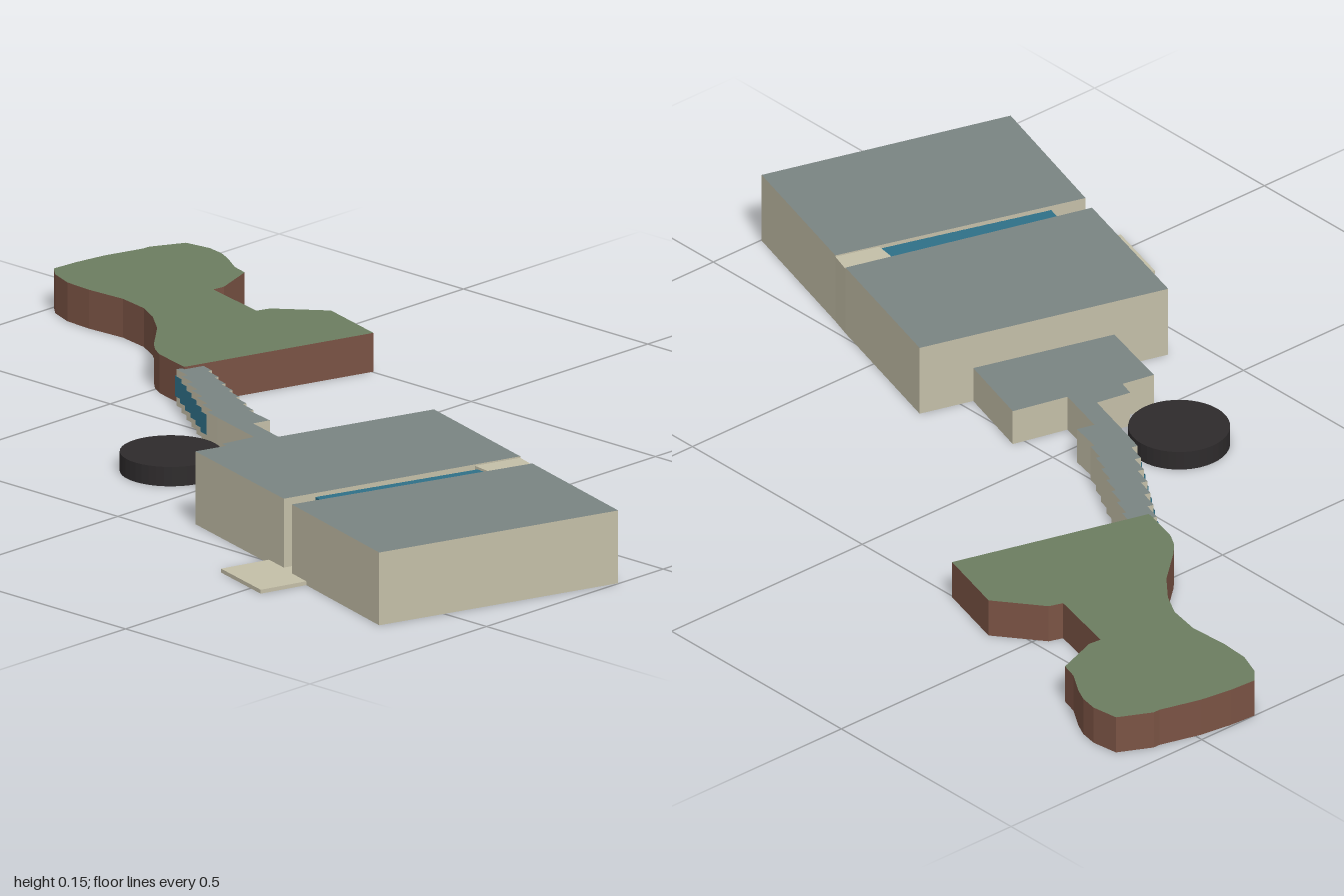
import * as THREE from 'three';

const mat = (color) => new THREE.MeshStandardMaterial({ color, flatShading: true, side: THREE.DoubleSide });

// Flat polygon at height y, from [x, z] plan points
function plate(name, pts, y, material) {
  const shape = new THREE.Shape(pts.map(([x, z]) => new THREE.Vector2(x, -z)));
  const mesh = new THREE.Mesh(new THREE.ShapeGeometry(shape).rotateX(-Math.PI / 2), material);
  mesh.position.y = y;
  mesh.name = name;
  return mesh;
}

// Upright wall strip following plan points (clockwise in plan faces outwards)
function walls(name, pts, y0, y1, material, closed = true) {
  const pos = [];
  const count = closed ? pts.length : pts.length - 1;
  for (let i = 0; i < count; i++) {
    const [ax, az] = pts[i], [bx, bz] = pts[(i + 1) % pts.length];
    pos.push(ax, y0, az, bx, y1, bz, bx, y0, bz, ax, y0, az, ax, y1, az, bx, y1, bz);
  }
  const geo = new THREE.BufferGeometry();
  geo.setAttribute('position', new THREE.Float32BufferAttribute(pos, 3));
  geo.computeVertexNormals();
  const mesh = new THREE.Mesh(geo, material);
  mesh.name = name;
  return mesh;
}

function building(name, pts, h, wallMat, roofMat, floorMat) {
  const g = new THREE.Group();
  g.name = name;
  g.add(walls(name + 'Walls', pts, 0, h, wallMat), plate(name + 'Roof', pts, h, roofMat));
  if (floorMat) g.add(plate(name + 'Floor', pts, 0, floorMat));
  return g;
}

// Stepped line from a to b, alternating along the site axis d and across it
function stairs(a, b, n, d) {
  const dx = (b[0] - a[0]) / n, dz = (b[1] - a[1]) / n;
  const along = dx * d[0] + dz * d[1];
  const pts = [];
  for (let i = 0; i < n; i++) {
    const x = a[0] + dx * i, z = a[1] + dz * i;
    pts.push([x, z], [x + d[0] * along, z + d[1] * along]);
  }
  return [...pts, b];
}

export function createModel() {
  const model = new THREE.Group();
  model.name = 'buildingComplex';
  const beige = mat(0xc4bfa8), grey = mat(0x7a8482), green = mat(0x6c7d60);
  const brown = mat(0x7a5344), glass = mat(0x2f7088), black = mat(0x2e2b2c);
  const axis = [0.958, 0.287], cross = [-0.287, 0.958];

  // Two main halls either side of a narrow atrium
  model.add(building('mainHallRight',
    [[0.298, -0.084], [0.624, 0.012], [0.474, 0.525], [0.143, 0.43]], 0.15, beige, grey, beige));
  model.add(building('mainHallLeft',
    [[0.672, 0.028], [0.998, 0.125], [0.843, 0.64], [0.51, 0.54]], 0.15, beige, grey, beige));

  // Atrium: solid core at the back, stepped glass in front
  model.add(building('atriumCore',
    [[0.624, 0.012], [0.672, 0.028], [0.645, 0.118], [0.595, 0.11]], 0.147, beige, beige));
  model.add(building('atriumGlass', [
    ...stairs([0.644, 0.118], [0.53, 0.468], 14, cross),
    ...stairs([0.495, 0.457], [0.605, 0.108], 14, cross),
  ], 0.142, glass, glass));

  // Entrance slab at ground level
  model.add(building('entranceSlab',
    [[0.425, 0.485], [0.573, 0.528], [0.538, 0.657], [0.39, 0.615]], 0.008, beige, beige, beige));

  // Low link hall and stepped corridor
  const front = stairs([-0.13, 0.082], [-0.395, -0.095], 7, axis);
  model.add(building('linkHall', [
    [0.09, -0.025], [0.285, 0.033], [0.19, 0.322], [0.01, 0.274], [0.025, 0.205],
    [-0.01, 0.194], [0.005, 0.12], ...front,
    ...stairs([-0.385, -0.137], [-0.115, 0.007], 7, axis),
    [-0.045, 0.023], [-0.055, 0.06], [0.06, 0.092],
  ], 0.075, beige, grey));

  // Window band along the corridor front
  const band = front.slice(2).map(([x, z]) => [x + cross[0] * 0.003, z + cross[1] * 0.003]);
  model.add(walls('corridorWindows', band, 0.02, 0.062, glass, false));

  // Round pavilion
  const disc = new THREE.Mesh(new THREE.CylinderGeometry(0.1, 0.1, 0.04, 40), black);
  disc.position.set(-0.125, 0.02, 0.22);
  disc.name = 'roundPavilion';
  model.add(disc);

  // Curved wing with green roof
  model.add(building('curvedWing', [
    [-0.387, -0.093], [-0.4, -0.095], [-0.477, -0.116], [-0.505, -0.132], [-0.53, -0.155],
    [-0.595, -0.232], [-0.65, -0.277], [-0.7, -0.304], [-0.77, -0.318], [-0.857, -0.313],
    [-0.92, -0.317], [-0.972, -0.337], [-1, -0.362], [-0.996, -0.42], [-0.985, -0.49],
    [-0.96, -0.575], [-0.96, -0.59], [-0.925, -0.658], [-0.868, -0.666], [-0.83, -0.659],
    [-0.8, -0.645], [-0.75, -0.614], [-0.713, -0.603], [-0.68, -0.51], [-0.683, -0.483],
    [-0.53, -0.445], [-0.52, -0.474], [-0.425, -0.547], [-0.268, -0.503],
  ], 0.08, brown, green));

  return model;
}
